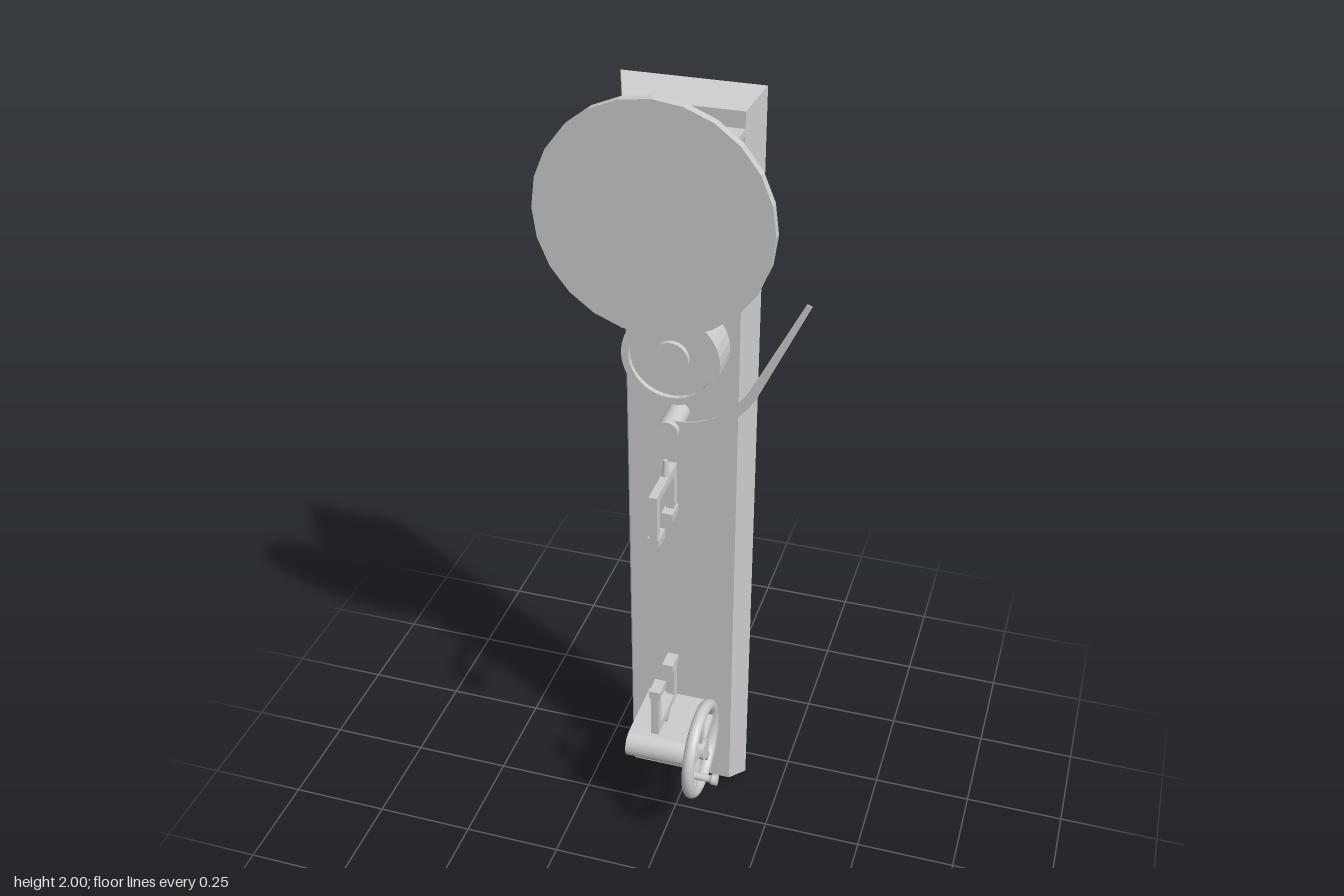
import * as THREE from 'three';

export function createModel() {
  const model = new THREE.Group();
  const mat = new THREE.MeshStandardMaterial({ color: 0xcccccc, side: THREE.DoubleSide });
  const flat = new THREE.MeshStandardMaterial({ color: 0xcccccc, side: THREE.DoubleSide, flatShading: true });

  function add(name, geo, x = 0, y = 0, z = 0, m = mat, parent = model) {
    const mesh = new THREE.Mesh(geo, m);
    mesh.name = name;
    mesh.position.set(x, y, z);
    parent.add(mesh);
    return mesh;
  }
  const box = (name, w, h, d, x, y, z, parent) =>
    add(name, new THREE.BoxGeometry(w, h, d), x, y, z, mat, parent);
  const rodZ = (r0, r1, len, n = 24) => new THREE.CylinderGeometry(r1, r0, len, n).rotateX(Math.PI / 2);
  const rodX = (r0, r1, len, n = 20) => new THREE.CylinderGeometry(r1, r0, len, n).rotateZ(-Math.PI / 2);
  const shapeOf = pts => new THREE.Shape(pts.map(p => new THREE.Vector2(...p)));
  const extrude = (shape, depth, curveSegments = 12) =>
    new THREE.ExtrudeGeometry(shape, { depth, bevelEnabled: false, curveSegments });

  // Backboard: tapered tray, open at the back
  const tray = new THREE.BoxGeometry(0.325, 1.96, 0.072);
  tray.setIndex([...tray.index.array].slice(0, 30));
  const p = tray.attributes.position;
  for (let i = 0; i < p.count; i++) {
    if (p.getZ(i) > 0) {
      p.setX(i, Math.sign(p.getX(i)) * 0.135);
      p.setY(i, Math.sign(p.getY(i)) * 0.947);
    }
  }
  tray.computeVertexNormals();
  add('backboard', tray, -0.0165, 0.98, -0.144);

  // Dial and its two shelf brackets, which pass through the board
  add('dial', rodZ(0.267, 0.267, 0.022, 24), -0.033, 1.733, 0.054, flat);
  function bracket(y, front, halfFront) {
    const half = [[0.135, -0.14], [0.135, -0.06], [0.09, -0.06], [halfFront, front]];
    const outline = [...half, ...half.map(([x, z]) => [-x, z]).reverse()];
    const geo = extrude(shapeOf(outline), 0.016).rotateX(Math.PI / 2);
    add('dialBracket', geo, -0.0165, y + 0.008, 0);
  }
  bracket(1.881, 0.043, 0.047);
  bracket(1.575, -0.015, 0.07);

  // Drum with a recessed face and central boss
  const drumProfile = [[0, 0], [0.117, 0], [0.117, 0.083], [0.1, 0.083], [0.1, 0.07],
    [0.042, 0.07], [0.042, 0.083], [0, 0.083]];
  const drumPoints = drumProfile.flatMap(([r, h]) => [new THREE.Vector2(r, h), new THREE.Vector2(r, h)]);
  const drum = new THREE.LatheGeometry(drumPoints, 32).toNonIndexed();
  drum.rotateX(Math.PI / 2);
  drum.computeVertexNormals();
  add('drum', drum, -0.021, 1.36, -0.108);

  // Lever: thin curved blade on a pivot
  add('leverPivot', rodZ(0.026, 0.026, 0.11), -0.025, 1.175, -0.066);
  const blade = new THREE.Shape();
  blade.moveTo(-0.02, 1.2);
  blade.bezierCurveTo(0.06, 1.19, 0.13, 1.25, 0.16, 1.3);
  blade.lineTo(0.285, 1.545);
  blade.lineTo(0.297, 1.54);
  blade.lineTo(0.18, 1.29);
  blade.bezierCurveTo(0.13, 1.21, 0.06, 1.16, -0.02, 1.152);
  add('lever', extrude(blade, 0.004), 0, 0, -0.03);

  // Test clamps: C frames facing each other, each with a pin
  function clamp(name, y, dir) {
    const g = new THREE.Group();
    g.name = name;
    g.position.set(-0.025, y, 0);
    g.scale.y = dir;
    box('clampBridge', 0.02, 0.021, 0.158, 0, 0.128, 0.021, g);
    for (const s of [1, -1]) {
      box('clampArm', 0.02, 0.138, 0.024, 0, 0.069, 0.021 + s * 0.067, g);
      box('clampJaw', 0.028, 0.022, 0.05, 0, 0.011, 0.021 + s * 0.054, g);
    }
    add('clampPin', new THREE.CylinderGeometry(0.005, 0.01, 0.042, 12), 0, 0.159, 0, mat, g);
    model.add(g);
  }
  clamp('upperClamp', 0.925, 1);
  clamp('lowerClamp', 0.476, -1);

  // Gear housing: round-nosed block fixed through the board
  const nose = new THREE.Shape();
  nose.moveTo(0.12, -0.036);
  nose.lineTo(-0.064, -0.036);
  nose.absarc(-0.064, 0, 0.036, -Math.PI / 2, -Math.PI * 1.5, true);
  nose.lineTo(0.12, 0.036);
  add('gearHousing', extrude(nose, 0.17).rotateY(Math.PI / 2), -0.106, 0.26, 0);

  // Handwheel
  const wheel = new THREE.Group();
  wheel.name = 'handwheel';
  wheel.position.set(0.081, 0.27, 0.048);
  model.add(wheel);
  add('wheelRim', new THREE.TorusGeometry(0.114, 0.016, 12, 40).rotateY(Math.PI / 2), 0, 0, 0, mat, wheel);
  add('wheelHub', rodX(0.028, 0.028, 0.03), 0, 0, 0, mat, wheel);
  for (let i = 0; i < 5; i++) {
    const spoke = new THREE.BoxGeometry(0.014, 0.1, 0.02).translate(0, 0.06, 0);
    add('wheelSpoke', spoke, 0, 0, 0, mat, wheel).rotation.x = i * Math.PI * 0.4;
  }
  // Crank handle with flared end
  add('crankStem', rodX(0.01, 0.009, 0.05), 0.037, 0.005, 0.104, mat, wheel);
  add('crankFlare', rodX(0.009, 0.014, 0.008), 0.058, 0.005, 0.104, mat, wheel);
  add('crankKnob', rodX(0.014, 0.014, 0.013), 0.0685, 0.005, 0.104, mat, wheel);

  return model;
}
